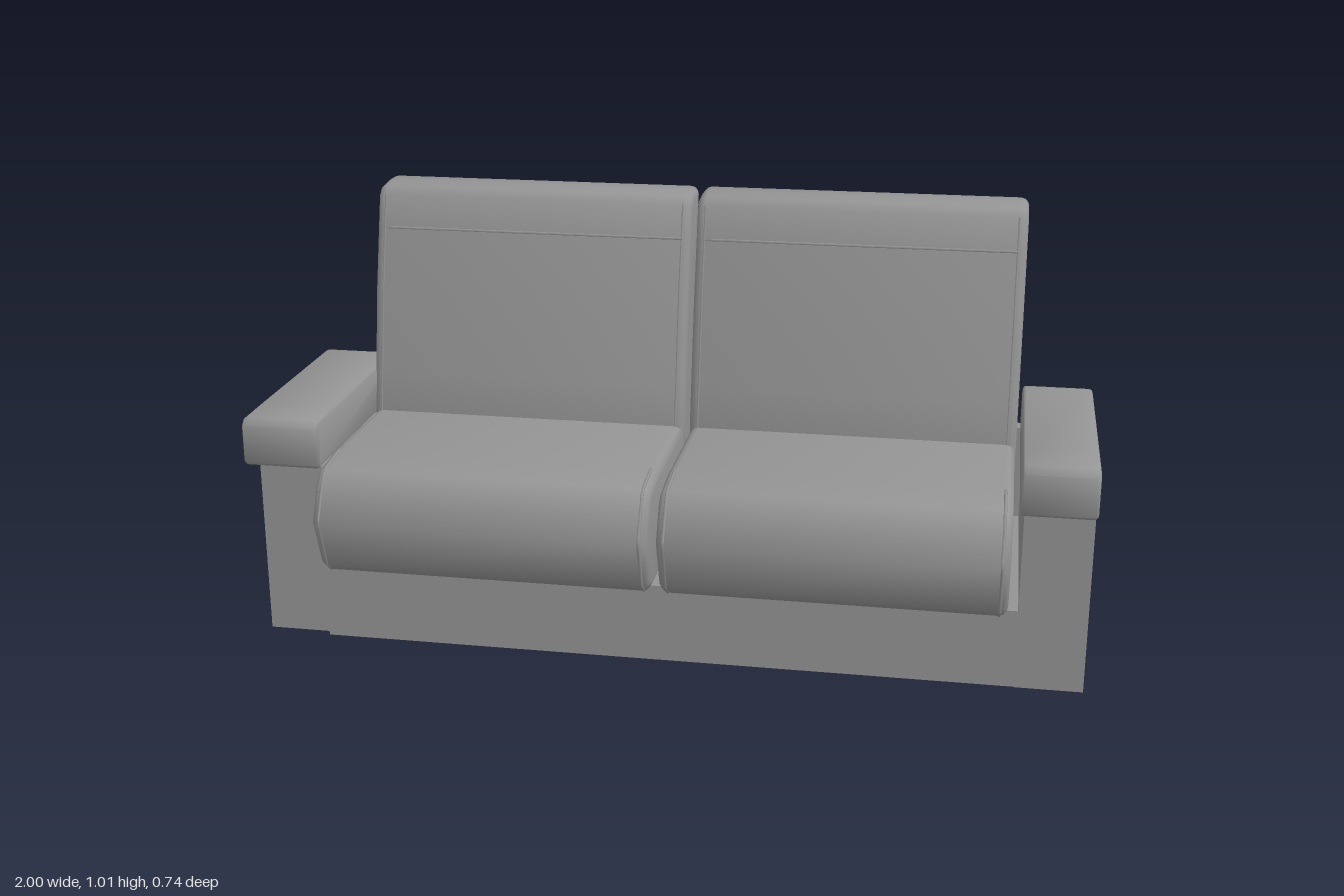
import * as THREE from 'three';
import { toCreasedNormals } from 'three/addons/utils/BufferGeometryUtils.js';

const material = new THREE.MeshStandardMaterial({ color: 0x949494 });

// Box given by its limits on each axis
function box(name, [x0, x1], [y0, y1], [z0, z1]) {
  const mesh = new THREE.Mesh(new THREE.BoxGeometry(x1 - x0, y1 - y0, z1 - z0), material);
  mesh.name = name;
  mesh.position.set((x0 + x1) / 2, (y0 + y1) / 2, (z0 + z1) / 2);
  return mesh;
}

// Padded part: a side profile of [z, y] points swept across x, with soft ends
function cushion(name, profile, x0, x1, bevel) {
  const shape = new THREE.Shape(profile.map(([z, y]) => new THREE.Vector2(z, y)));
  const geometry = new THREE.ExtrudeGeometry(shape, {
    depth: x1 - x0 - 2 * bevel,
    bevelSize: bevel,
    bevelThickness: bevel,
    bevelOffset: -bevel,
    bevelSegments: 3,
  });
  geometry.translate(0, 0, bevel);
  geometry.rotateY(-Math.PI / 2);
  geometry.translate(x1, 0, 0);
  const mesh = new THREE.Mesh(toCreasedNormals(geometry, 0.95), material);
  mesh.name = name;
  return mesh;
}

// Thin piping through [x, y, z] points
function piping(name, points) {
  const curve = new THREE.CatmullRomCurve3(
    points.map((p) => new THREE.Vector3(...p)), false, 'catmullrom', 0.1);
  const mesh = new THREE.Mesh(new THREE.TubeGeometry(curve, 32, 0.004, 6), material);
  mesh.name = name;
  return mesh;
}

// Seat: flat top rolling over a bulging front edge
const seatFront = [
  [0.3, 0.178], [0.325, 0.2], [0.37, 0.32], [0.325, 0.41], [0.3, 0.433], [0.2, 0.445],
];
const seatProfile = [[-0.29, 0.19], [0.27, 0.175], ...seatFront, [-0.29, 0.44]];

// Backrest: leaning back and thinner at the top
const backFront = [[-0.126, 0.44], [-0.145, 0.54], [-0.185, 0.75], [-0.224, 0.9], [-0.245, 0.98]];
const backProfile = [
  [-0.29, 0.3], [-0.14, 0.3], ...backFront, [-0.265, 1.0],
  [-0.32, 1.006], [-0.362, 1.006], [-0.37, 1.0], [-0.37, 0.985], [-0.31, 0.44],
];

// Armrest pad: a slab with its corners taken off and a seam behind the front
function padProfile(z0, z1) {
  const y0 = 0.428, y1 = 0.544, c = 0.016, s = 0.008;
  return [
    [z0 + c, y0], [z1 - s, y0], [z1, y0 + s], [z1, y1 - c], [z1 - c, y1 - 0.001],
    [z1 - 0.125, y1], [z0 + 0.03, y1], [z0 + c, y1 - 0.001], [z0, y1 - c], [z0, y0 + s],
  ];
}

export function createModel() {
  const sofa = new THREE.Group();
  sofa.name = 'sofa';

  // Frame
  sofa.add(
    box('base', [-0.81, 0.838], [0, 0.19], [-0.3, 0.294]),
    box('backPanel', [-0.965, 0.995], [0.003, 0.428], [-0.343, -0.3]),
  );

  // Arms: the right one is set slightly further back
  const arms = [
    { side: 'left', body: [0.838, 0.995], front: 0.296, pad: [0.828, 1.0], padZ: [-0.31, 0.315] },
    { side: 'right', body: [-0.965, -0.81], front: 0.275, pad: [-1.0, -0.81], padZ: [-0.317, 0.292] },
  ];
  for (const { side, body, front, pad, padZ } of arms) {
    const arm = new THREE.Group();
    arm.name = `${side}Arm`;
    arm.add(
      box('armBody', body, [0, 0.43], [-0.3, front]),
      cushion('armPad', padProfile(...padZ), pad[0], pad[1], 0.01),
    );
    sofa.add(arm);
  }

  // Two places, each a seat and a backrest with piped edges
  for (const [side, x0, x1] of [['right', -0.815, -0.005], ['left', 0.008, 0.818]]) {
    const place = new THREE.Group();
    place.name = `${side}Place`;
    place.add(
      cushion('seat', seatProfile, x0 + 0.003, x1 - 0.003, 0.022),
      cushion('backrest', backProfile, x0, x1, 0.02),
      piping('headrestSeam', [[x0 + 0.02, 0.9, -0.226], [x1 - 0.02, 0.9, -0.226]]),
    );
    for (const x of [x0 + 0.022, x1 - 0.022]) {
      place.add(
        piping('seatPiping', seatFront.map(([z, y]) => [x, y, z - 0.003])),
        piping('backrestPiping', backFront.map(([z, y]) => [x, y, z - 0.003])),
      );
    }
    sofa.add(place);
  }
  return sofa;
}
